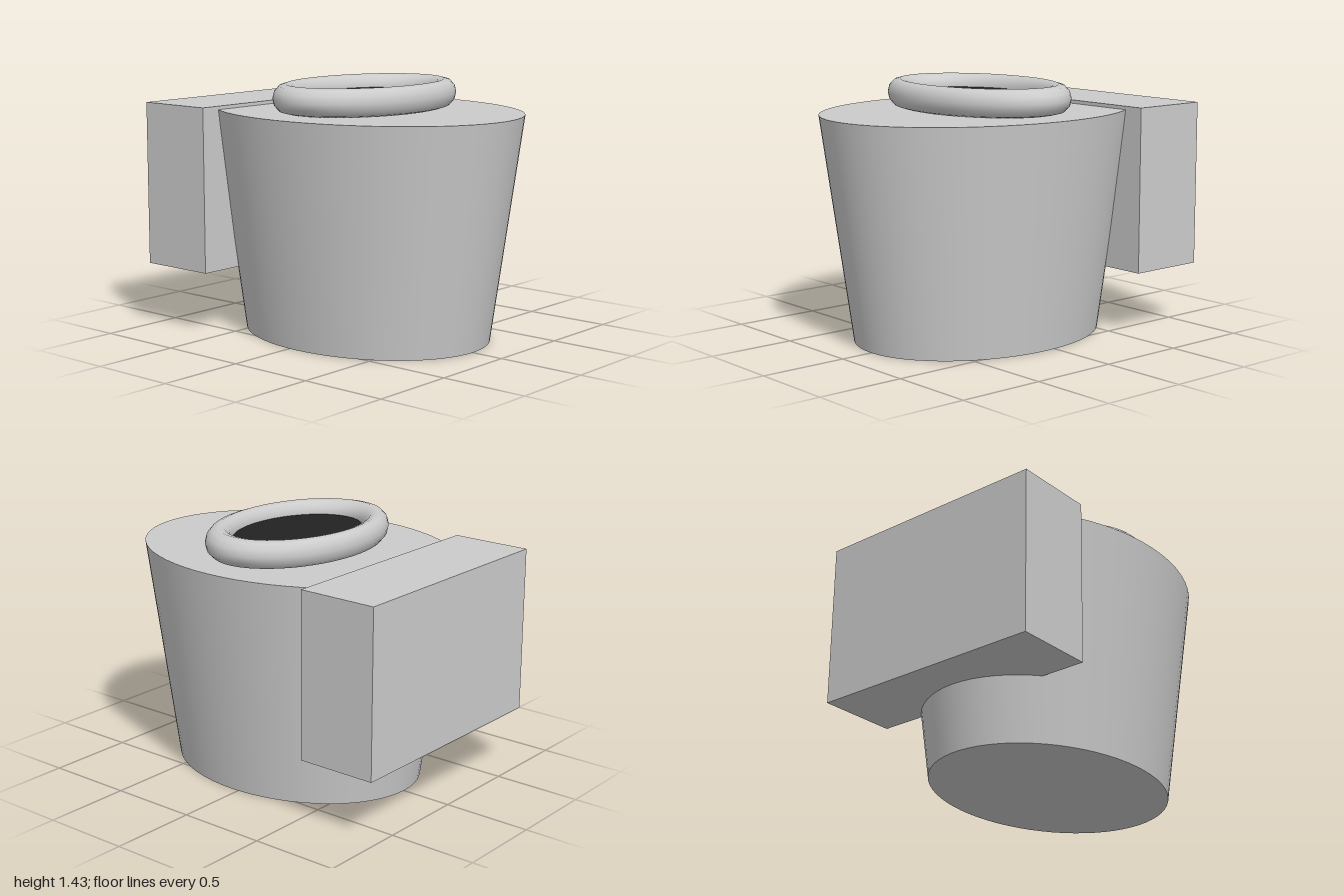
import * as THREE from 'three';

export function createModel() {
  const model = new THREE.Group();
  const grey = new THREE.MeshStandardMaterial({ color: 0xcccccc });
  const dark = new THREE.MeshStandardMaterial({ color: 0x222222 });

  const add = (name, geometry, material, x, y, z) => {
    const mesh = new THREE.Mesh(geometry, material);
    mesh.name = name;
    mesh.position.set(x, y, z);
    model.add(mesh);
    return mesh;
  };

  // Tapered oval bowl, closed at both ends
  const bowl = new THREE.CylinderGeometry(1, 0.8, 1.27, 64);
  bowl.scale(0.733, 1, 0.9475);
  add('bowl', bowl, grey, 0, 0.635, 0.0525);

  // Water tank behind the bowl
  add('tank', new THREE.BoxGeometry(1.38, 0.93, 0.46), grey, 0, 0.825, -0.77);

  // Oval ring seat resting on the bowl
  const seat = new THREE.TorusGeometry(0.53, 0.085, 12, 64);
  seat.rotateX(-Math.PI / 2);
  seat.scale(1, 0.078 / 0.085, 0.683);
  add('seat', seat, grey, 0, 1.35, 0.05);

  // Dark oval opening inside the seat
  const opening = new THREE.CylinderGeometry(1, 1, 0.02, 64);
  opening.scale(0.428, 1, 0.304);
  add('opening', opening, dark, 0, 1.345, 0.05);

  return model;
}
